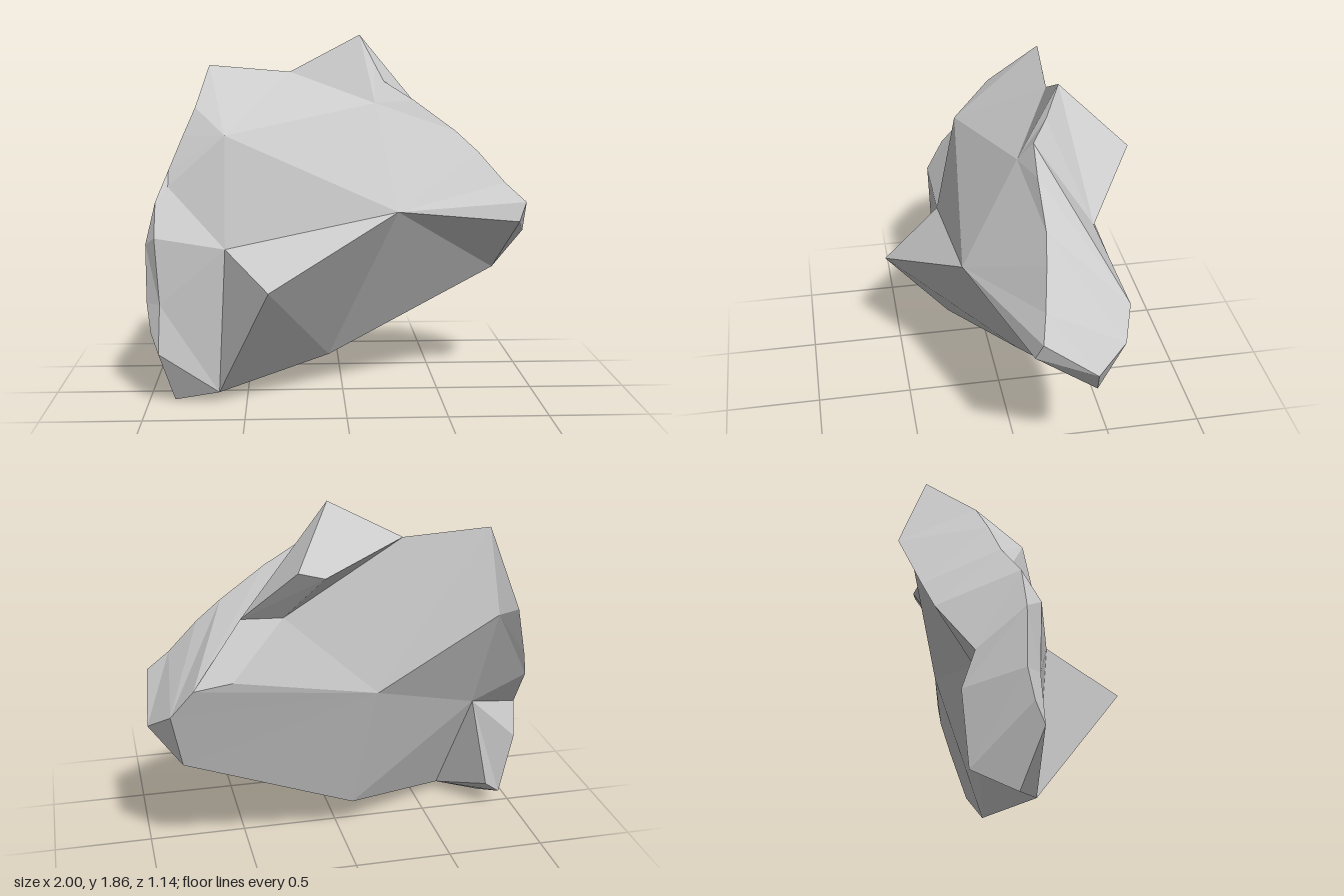
import * as THREE from 'three';

// A faceted boulder: a few named corner points and rim chains,
// skinned with fans around corners and strips between rims.
export function createModel() {
  const positions = [];

  function tri(a, b, c) {
    if (a === b || b === c || a === c) return;
    positions.push(...a, ...b, ...c);
  }

  // Triangles from one corner to each step of a chain.
  function fan(centre, chain) {
    for (let i = 0; i + 1 < chain.length; i++) tri(centre, chain[i], chain[i + 1]);
  }

  // Skin between two chains of any length.
  function strip(a, b) {
    let i = 0, j = 0;
    while (i < a.length - 1 || j < b.length - 1) {
      const stepA = (i + 1) / (a.length - 1), stepB = (j + 1) / (b.length - 1);
      if (j === b.length - 1 || (i < a.length - 1 && stepA <= stepB)) {
        tri(a[i], b[j], a[i + 1]);
        i++;
      } else {
        tri(a[i], b[j], b[j + 1]);
        j++;
      }
    }
  }

  // Underside edge and lower right end
  const foot = [-0.64, 0.05, 0.2], keel = [-0.07, 0.16, -0.12], tail = [0.84, 0.59, -0.34];
  const chin = [0.93, 0.89, -0.01], tip = [1.0, 0.8, -0.3], toe = [-0.87, 0, 0.15];

  // Skyline corners
  const peak = [0.1, 1.86, -0.27], saddle = [-0.27, 1.665, -0.29], shoulder = [-0.7, 1.7, -0.33];

  // Corners inside the front face
  const brow = [0.27, 0.98, 0.23], nose = [-0.38, 0.64, 0.57], cheek = [-0.6, 0.8, 0.25];
  const upperLeft = [-0.6, 1.36, 0.14], upperRight = [0.17, 1.51, -0.06];

  // Corners inside the back face
  const backMid = [-0.14, 0.89, -0.36], backUpper = [-0.75, 1.26, -0.38], backLower = [-0.74, 0.66, -0.07];

  // Front rim on the +x slope, climbing to the peak
  const slope = [
    [0.97, 0.99, -0.04], [0.86, 1.09, -0.07], [0.72, 1.25, -0.1], [0.6, 1.36, -0.12],
    [0.38, 1.52, -0.12], [0.22, 1.62, -0.13], [0.17, 1.72, -0.2], peak,
  ];

  // Back rim on the +x slope, with a notch and an overhanging ledge
  const heel = [0.9, 0.9, -0.45], hump = [0.79, 1.04, -0.49], notch = [0.54, 1.335, -0.36];
  const ledge = [0.3, 1.61, -0.57], ledgeEnd = [0.17, 1.57, -0.555];
  const underHump = [0.6, 1.06, -0.475], underLedge = [0.335, 1.33, -0.37];

  // Rims of the -x side, from top to bottom
  const crest = [[-0.76, 1.49, -0.07], [-0.82, 1.35, 0.0], [-0.89, 1.18, 0.07]];
  const frontRim = [[-0.89, 1.1, 0.12], [-0.95, 0.86, 0.26], [-0.93, 0.52, 0.25], [-0.94, 0.27, 0.27]];
  const sideRidge = [[-0.95, 1.03, 0.17], [-1.0, 0.82, 0.2], [-1.0, 0.52, 0.2], [-0.98, 0.37, 0.23]];
  const backRim = [
    [-0.83, 1.3, -0.43], [-0.93, 1.0, -0.29], [-0.97, 0.86, -0.22],
    [-0.99, 0.62, -0.03], [-0.98, 0.44, -0.09], [-0.92, 0.09, -0.06],
  ];
  const sole = [-0.84, 0.15, -0.07];

  // Front face
  fan(brow, [nose, keel, tail, chin, ...slope.slice(0, 4), upperRight, upperLeft, cheek, nose]);
  fan(upperRight, [brow, ...slope.slice(3), saddle, upperLeft]);
  fan(upperLeft, [saddle, shoulder, ...crest, frontRim[0], cheek]);
  fan(cheek, [...frontRim.slice(0, 3), foot, nose]);
  fan(nose, [foot, keel]);
  fan(foot, [frontRim[2], frontRim[3], toe, backRim[5], sole]);

  // -x side
  strip([crest[2], ...frontRim, toe], [crest[2], ...sideRidge, toe]);
  strip([shoulder, ...crest, ...sideRidge, toe], [shoulder, ...backRim, toe]);

  // +x side and top ledge
  fan(tip, [slope[0], chin, tail, heel]);
  strip(slope, [tip, heel, hump, notch, ledge]);
  fan(peak, [ledge, ledgeEnd, saddle]);
  fan(notch, [hump, underHump, underLedge, ledgeEnd, ledge]);
  tri(ledgeEnd, underLedge, saddle);

  // Back face
  fan(backMid, [saddle, underLedge, underHump, hump, heel, tail, keel, backLower, backUpper, shoulder, saddle]);
  tri(backLower, keel, foot);
  fan(backLower, [foot, sole, backRim[5], backRim[4], backRim[3], backRim[2], backUpper]);
  fan(backUpper, [backRim[2], backRim[1], backRim[0], shoulder]);

  const geometry = new THREE.BufferGeometry();
  geometry.setAttribute('position', new THREE.Float32BufferAttribute(positions, 3));
  geometry.computeVertexNormals();

  const rock = new THREE.Mesh(geometry, new THREE.MeshStandardMaterial({ color: 0xcccccc, flatShading: true }));
  rock.name = 'rock';
  const group = new THREE.Group();
  group.name = 'boulder';
  group.add(rock);
  return group;
}
